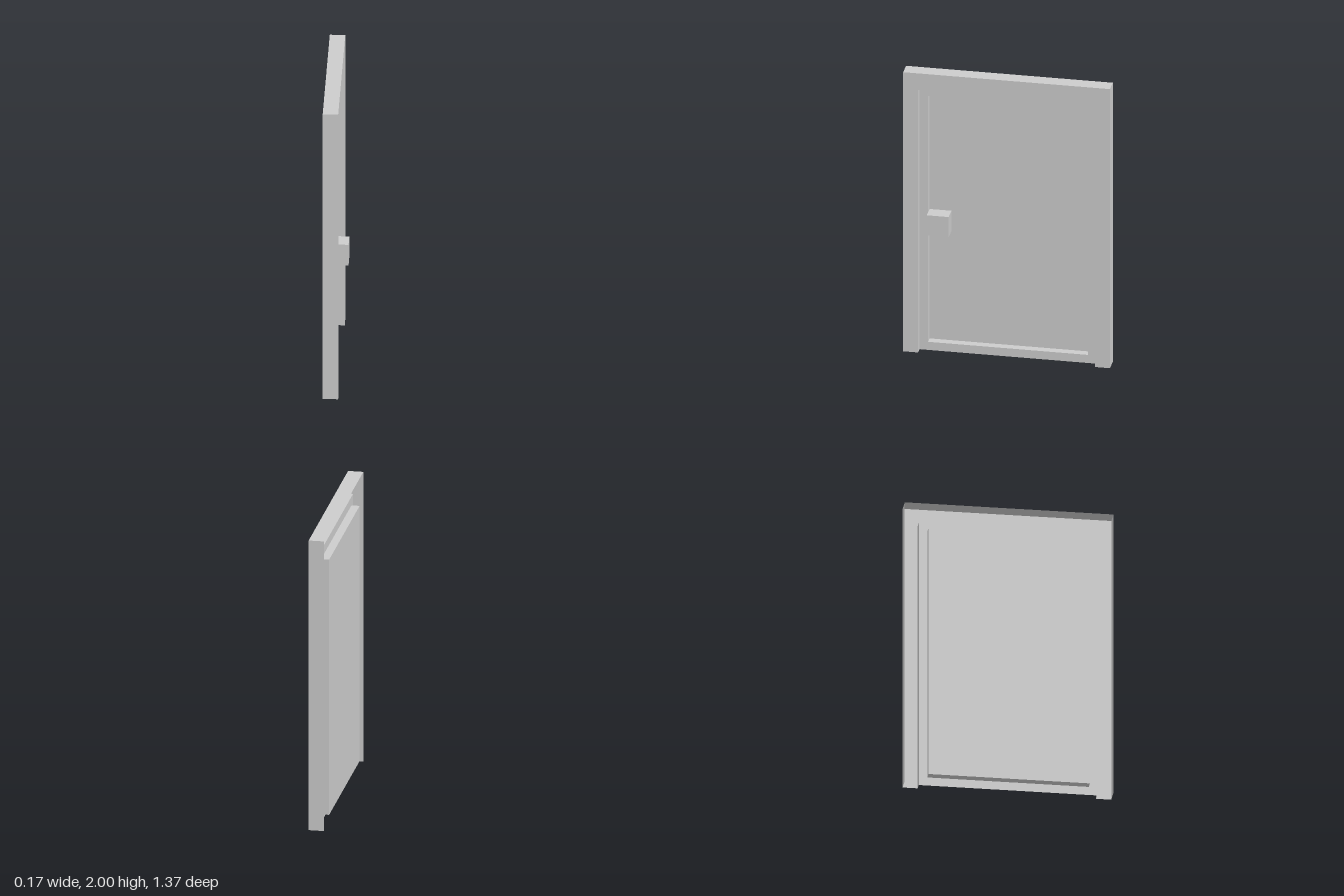
import * as THREE from 'three';

const material = new THREE.MeshStandardMaterial({ color: 0xcccccc, flatShading: true, side: THREE.DoubleSide });

// Depths of the stepped sheets, from the open back to the front of the casing
const BACK = -0.079, PANEL = -0.084, RIM = -0.03, FRONT = 0.022, KNOB = 0.084;

// Upright rectangle or door outline, listed clockwise from the bottom left
const outline = (halfWidth, bottom, top) => [
  [-halfWidth, bottom], [-halfWidth, top], [halfWidth, top], [halfWidth, bottom],
].map(([x, y]) => new THREE.Vector2(x, y));

function addMesh(parent, name, geometry) {
  const mesh = new THREE.Mesh(geometry, material);
  mesh.name = name;
  parent.add(mesh);
  return mesh;
}

// Flat sheet at one depth, with an optional hole
function sheet(points, depth, hole) {
  const shape = new THREE.Shape(points);
  if (hole) shape.holes.push(new THREE.Path(hole));
  return new THREE.ShapeGeometry(shape).translate(0, 0, depth);
}

// Wall swept along an outline between two depths
function wall(points, z0, z1, closed = false) {
  const positions = [];
  const count = closed ? points.length : points.length - 1;
  for (let i = 0; i < count; i++) {
    const a = points[i], b = points[(i + 1) % points.length];
    positions.push(a.x, a.y, z0, b.x, b.y, z0, b.x, b.y, z1);
    positions.push(a.x, a.y, z0, b.x, b.y, z1, a.x, a.y, z1);
  }
  const geometry = new THREE.BufferGeometry();
  geometry.setAttribute('position', new THREE.Float32BufferAttribute(positions, 3));
  geometry.computeVertexNormals();
  return geometry;
}

export function createModel() {
  const model = new THREE.Group();
  model.name = 'door';

  const outer = outline(0.685, 0, 2);
  const opening = outline(0.586, 0, 1.88);
  const inset = outline(0.53, 0.058, 1.82);

  // Casing: an open-backed shell around the doorway
  const frame = new THREE.Group();
  frame.name = 'doorFrame';
  addMesh(frame, 'frameFace', sheet([
    outer[0], outer[1], outer[2], outer[3], opening[3], opening[2], opening[1], opening[0],
  ], FRONT));
  addMesh(frame, 'frameSides', wall(outer, FRONT, BACK));
  addMesh(frame, 'frameReveal', wall(opening, RIM, FRONT));

  // Door leaf: a rim with a sunken panel
  const leaf = new THREE.Group();
  leaf.name = 'doorLeaf';
  addMesh(leaf, 'leafRim', sheet(opening, RIM, inset));
  addMesh(leaf, 'panelSides', wall(inset, PANEL, RIM, true));
  addMesh(leaf, 'panel', sheet(inset, PANEL));

  // Square knob on a thinner neck
  const knob = new THREE.Group();
  knob.name = 'knob';
  knob.position.set(-0.444, 0.945, 0);
  const block = (name, size, z0, z1) =>
    addMesh(knob, name, new THREE.BoxGeometry(size, size, z1 - z0)).position.z = (z0 + z1) / 2;
  block('knobHead', 0.145, -0.016, KNOB);
  block('knobNeck', 0.08, PANEL, -0.016);

  // Turn the door so that its face looks along +x
  const door = new THREE.Group();
  door.name = 'doorAssembly';
  door.rotation.y = Math.PI / 2;
  door.add(frame, leaf, knob);
  model.add(door);
  return model;
}
